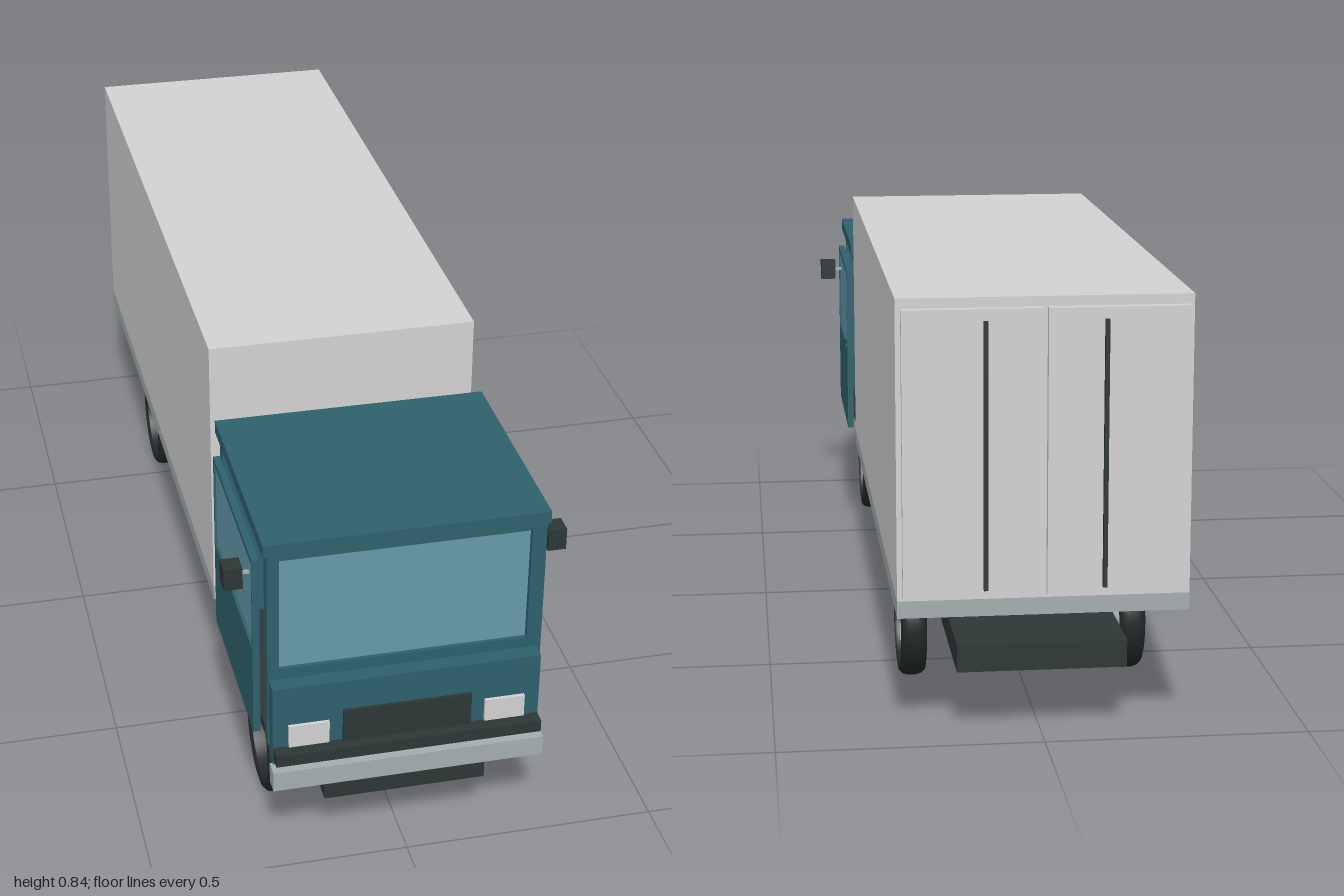
import * as THREE from 'three';

const mat = (name, color) => {
  const m = new THREE.MeshStandardMaterial({ color });
  m.name = name;
  return m;
};

export function createModel() {
  const truck = new THREE.Group();
  truck.name = 'boxTruck';

  const teal = mat('teal paint', 0x2f616b);
  const glass = mat('blue glass', 0x6699a8);
  const white = mat('cargo white', 0xd2d2d2);
  const dark = mat('dark trim', 0x2e3736);
  const steel = mat('steel grey', 0xa3adaf);
  const rubber = mat('tyre rubber', 0x232828);
  const alloy = mat('spoke silver', 0xd0d6d8);

  // Box given by its min and max along each axis
  const box = (name, m, x0, x1, y0, y1, z0, z1, parent = truck) => {
    const mesh = new THREE.Mesh(new THREE.BoxGeometry(x1 - x0, y1 - y0, z1 - z0), m);
    mesh.position.set((x0 + x1) / 2, (y0 + y1) / 2, (z0 + z1) / 2);
    mesh.name = name;
    parent.add(mesh);
    return mesh;
  };
  // The same box on both sides
  const pair = (name, m, x0, x1, y0, y1, z0, z1, parent = truck) => {
    box(name + 'Left', m, x0, x1, y0, y1, z0, z1, parent);
    box(name + 'Right', m, -x1, -x0, y0, y1, z0, z1, parent);
  };

  // Chassis
  box('chassis', dark, -0.16, 0.16, 0.13, 0.183, -0.955, 0.97);

  // Cargo box
  const cargo = new THREE.Group();
  cargo.name = 'cargoBox';
  truck.add(cargo);
  box('cargoFloor', steel, -0.272, 0.272, 0.245, 0.278, -0.976, 0.422, cargo);
  box('cargoBody', white, -0.272, 0.272, 0.278, 0.826, -0.976, 0.422, cargo);
  box('cargoRoof', white, -0.272, 0.272, 0.826, 0.841, -0.976, 0.422, cargo);
  pair('rearDoor', white, 0.004, 0.262, 0.288, 0.822, -0.991, -0.976, cargo);
  pair('lockBar', dark, 0.106, 0.114, 0.3, 0.8, -1, -0.991, cargo);

  // Cab shell: floor, rear wall, pillars, rails and roof
  const cab = new THREE.Group();
  cab.name = 'cab';
  truck.add(cab);
  box('cabFloor', dark, -0.262, 0.262, 0.25, 0.272, 0.46, 0.94, cab);
  box('rearWall', teal, -0.265, 0.265, 0.255, 0.69, 0.49, 0.516, cab);
  box('roof', teal, -0.274, 0.274, 0.689, 0.715, 0.486, 0.95, cab);
  pair('sideRail', teal, 0.245, 0.265, 0.662, 0.689, 0.516, 0.913, cab);
  pair('frontPillar', teal, 0.242, 0.265, 0.255, 0.689, 0.913, 0.94, cab);
  box('windscreenTop', teal, -0.242, 0.242, 0.67, 0.689, 0.913, 0.937, cab);
  box('windscreenSill', teal, -0.242, 0.242, 0.272, 0.427, 0.913, 0.937, cab);
  box('windscreen', glass, -0.242, 0.242, 0.427, 0.67, 0.92, 0.929, cab);

  // Doors with window, handle and mirror
  pair('doorPanel', teal, 0.271, 0.285, 0.26, 0.452, 0.519, 0.9, cab);
  pair('doorWindow', glass, 0.273, 0.281, 0.459, 0.642, 0.525, 0.894, cab);
  pair('doorTop', teal, 0.271, 0.285, 0.642, 0.653, 0.519, 0.9, cab);
  pair('doorFrontPost', teal, 0.271, 0.285, 0.452, 0.642, 0.894, 0.9, cab);
  pair('doorRearPost', teal, 0.271, 0.285, 0.452, 0.642, 0.519, 0.525, cab);
  pair('doorHandle', dark, 0.279, 0.286, 0.451, 0.458, 0.612, 0.637, cab);
  pair('mirrorArm', steel, 0.28, 0.298, 0.597, 0.603, 0.852, 0.858, cab);
  pair('mirror', dark, 0.297, 0.333, 0.577, 0.622, 0.836, 0.876, cab);

  // Nose, lights and bumper
  box('nosePanel', teal, -0.262, 0.262, 0.225, 0.406, 0.94, 0.972, cab);
  box('grille', dark, -0.126, 0.126, 0.27, 0.341, 0.972, 0.979, cab);
  pair('headlight', white, 0.153, 0.232, 0.273, 0.321, 0.972, 0.979, cab);
  box('bumperStep', dark, -0.261, 0.261, 0.246, 0.271, 0.94, 1, cab);
  box('bumper', steel, -0.267, 0.267, 0.19, 0.232, 0.966, 1, cab);

  // Wheels: hollow rounded tyre, and a hub with five spokes on its +x face
  const tyreProfile = [
    [0.095, -0.02], [0.101, -0.026], [0.109, -0.025], [0.115, -0.019], [0.118, -0.009],
    [0.118, 0.009], [0.115, 0.019], [0.109, 0.025], [0.101, 0.026], [0.095, 0.02], [0.095, -0.02],
  ].map(([r, h]) => new THREE.Vector2(r, h));
  const tyreGeo = new THREE.LatheGeometry(tyreProfile, 40).rotateZ(-Math.PI / 2);
  const hubGeo = new THREE.CylinderGeometry(0.067, 0.067, 0.034, 32).rotateZ(-Math.PI / 2);
  const spokeGeo = new THREE.BoxGeometry(0.004, 0.046, 0.009).translate(0, 0.035, 0);
  const capGeo = new THREE.CylinderGeometry(0.014, 0.014, 0.006, 16).rotateZ(-Math.PI / 2);

  for (const z of [0.733, -0.573]) {
    for (const side of [1, -1]) {
      const wheel = new THREE.Group();
      wheel.name = (z > 0 ? 'front' : 'rear') + 'Wheel' + (side > 0 ? 'Left' : 'Right');
      wheel.position.set(side * 0.218, 0.122, z);
      const add = (name, geo, m, x) => {
        const mesh = new THREE.Mesh(geo, m);
        mesh.name = name;
        mesh.position.x = x;
        wheel.add(mesh);
        return mesh;
      };
      const hubX = side > 0 ? 0 : 0.019;
      add('tyre', tyreGeo, rubber, 0);
      add('hub', hubGeo, steel, hubX);
      for (let i = 0; i < 5; i++) {
        add('spoke', spokeGeo, alloy, hubX + 0.018).rotation.x = (i * 2 * Math.PI) / 5 + 0.3;
      }
      add('hubCap', capGeo, steel, hubX + 0.018);
      truck.add(wheel);
    }
  }
  return truck;
}
